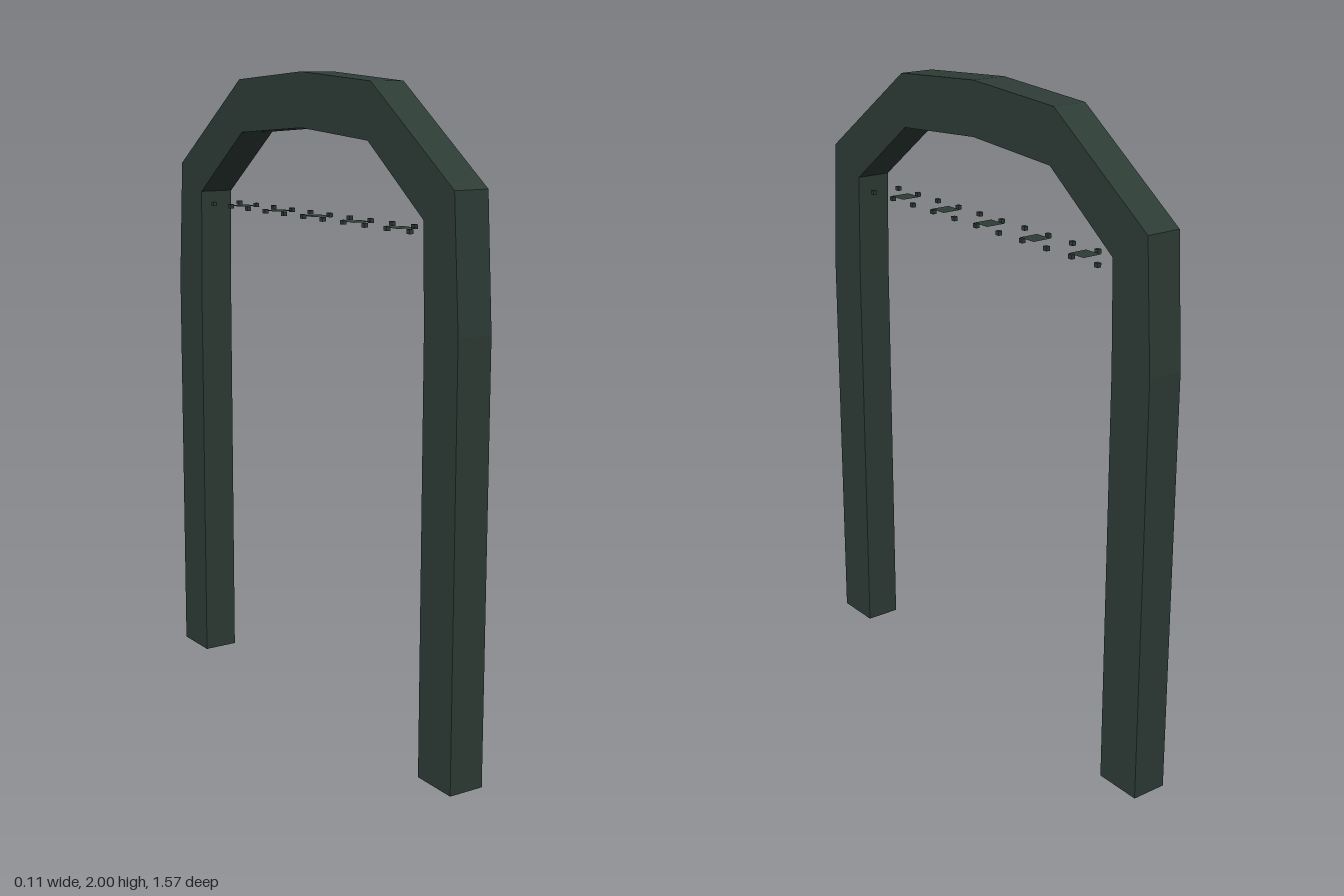
import * as THREE from 'three';

export function createModel() {
  const model = new THREE.Group();
  const green = new THREE.MeshStandardMaterial({ color: 0x2e3c36 });
  green.name = 'darkGreenMetal';
  const greenSheet = new THREE.MeshStandardMaterial({ color: 0x2e3c36, side: THREE.DoubleSide });
  greenSheet.name = 'darkGreenSheet';
  const WIDTH = 0.113;

  function add(name, geometry, material = green, parent = model) {
    const mesh = new THREE.Mesh(geometry, material);
    mesh.name = name;
    parent.add(mesh);
    return mesh;
  }

  // Flat-sided beam from a side outline of [z, y] points, centred on x = 0
  function beam(name, points) {
    const shape = new THREE.Shape(points.map(([z, y]) => new THREE.Vector2(z, y)));
    const geometry = new THREE.ExtrudeGeometry(shape, { depth: WIDTH, bevelEnabled: false });
    geometry.translate(0, 0, -WIDTH / 2).rotateY(-Math.PI / 2);
    return add(name, geometry);
  }

  // Upright posts
  for (const [name, s] of [['frontPost', 1], ['backPost', -1]]) {
    beam(name, [[0.783 * s, 0], [0.783 * s, 1.305], [0.63 * s, 1.29], [0.63 * s, 0]]);
  }

  // Faceted arch joining the posts
  const mirror = (half) => [...half, ...half.slice(0, -1).reverse().map(([z, y]) => [-z, y])];
  const outer = mirror([[0.783, 1.305], [0.757, 1.695], [0.365, 1.975], [0, 2]]);
  const inner = mirror([[0.63, 1.29], [0.622, 1.607], [0.352, 1.81], [0, 1.835]]);
  beam('arch', [...outer, ...inner.reverse()]);

  // Row of small plates and studs hung between the posts
  const row = new THREE.Group();
  row.name = 'overheadRow';
  model.add(row);
  for (let i = 0; i < 11; i++) {
    const z = 0.548 - i * 0.11;
    for (const x of [-0.048, 0.048]) {
      add('stud', new THREE.BoxGeometry(0.013, 0.013, 0.015), green, row).position.set(x, 1.57, z);
    }
    if (i % 2 === 1) {
      const plate = add('plate', new THREE.PlaneGeometry(0.065, 0.065), greenSheet, row);
      plate.rotation.x = -Math.PI / 2;
      plate.position.set(0, 1.57, z);
    }
  }
  return model;
}
